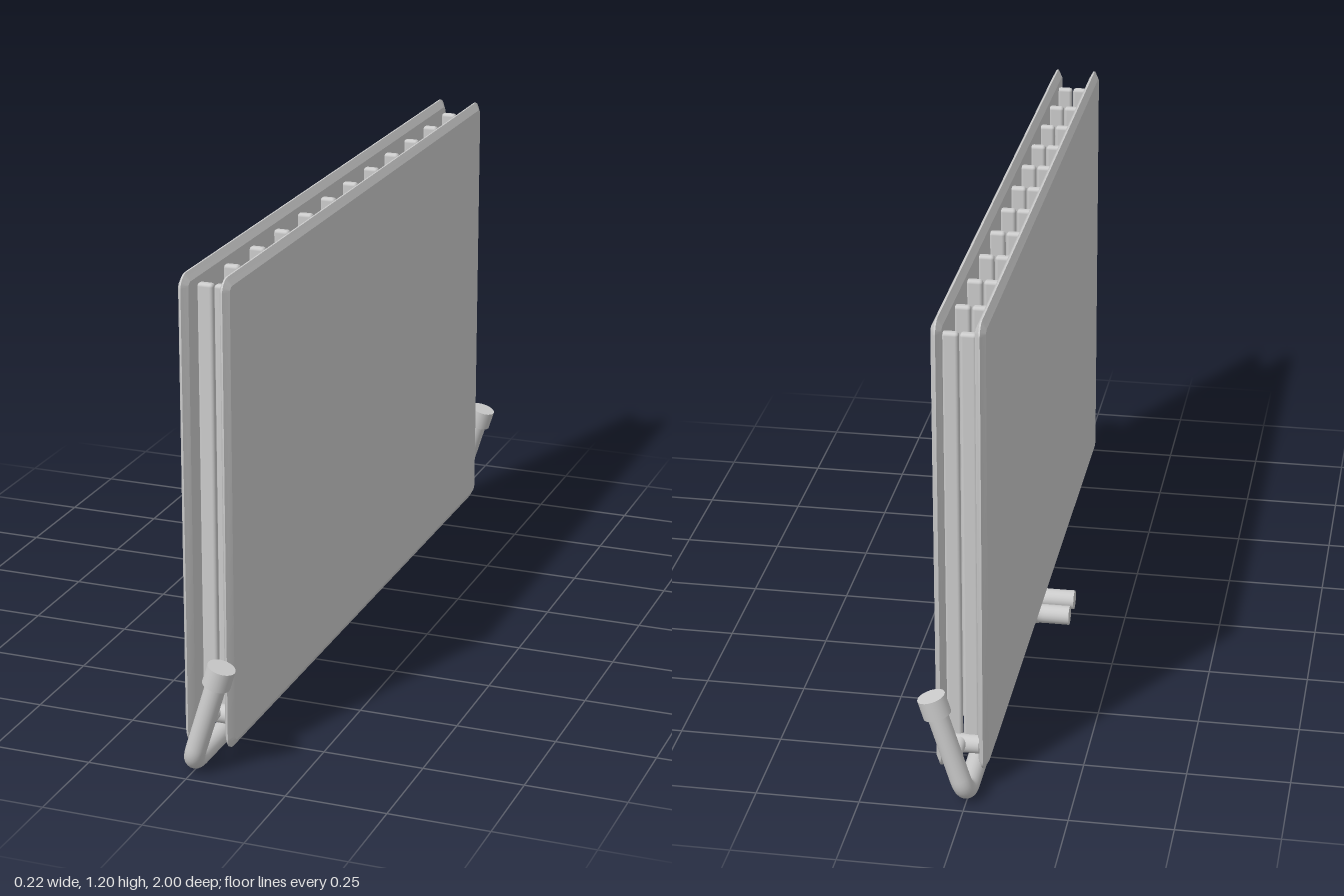
import * as THREE from 'three';
import { toCreasedNormals } from 'three/addons/utils/BufferGeometryUtils.js';
import { RoundedBoxGeometry } from 'three/addons/geometries/RoundedBoxGeometry.js';

const V = (x, y, z) => new THREE.Vector3(x, y, z);

// Straight runs joined by rounded bends of the given size
function bentPath(points, bend) {
  const path = new THREE.CurvePath();
  let from = points[0];
  for (let i = 1; i < points.length - 1; i++) {
    const p = points[i];
    const a = p.clone().add(points[i - 1].clone().sub(p).setLength(bend));
    const b = p.clone().add(points[i + 1].clone().sub(p).setLength(bend));
    path.add(new THREE.LineCurve3(from, a));
    path.add(new THREE.QuadraticBezierCurve3(a, p, b));
    from = b;
  }
  path.add(new THREE.LineCurve3(from, points[points.length - 1]));
  return path;
}

// Rounded rectangle in the length / height plane
function roundedRect(w, h, r) {
  const s = new THREE.Shape();
  s.absarc(w / 2 - r, h / 2 - r, r, 0, Math.PI / 2);
  s.absarc(-w / 2 + r, h / 2 - r, r, Math.PI / 2, Math.PI);
  s.absarc(-w / 2 + r, -h / 2 + r, r, Math.PI, Math.PI * 1.5);
  s.absarc(w / 2 - r, -h / 2 + r, r, Math.PI * 1.5, Math.PI * 2);
  s.closePath();
  return s;
}

export function createModel() {
  const group = new THREE.Group();
  const mat = new THREE.MeshStandardMaterial({ color: 0xcccccc });
  const add = (name, geo, x = 0, y = 0, z = 0) => {
    const mesh = new THREE.Mesh(geo, mat);
    mesh.name = name;
    mesh.position.set(x, y, z);
    group.add(mesh);
    return mesh;
  };
  const rod = (name, a, b, r) => {
    const d = b.clone().sub(a);
    const m = add(name, new THREE.CylinderGeometry(r, r, d.length(), 24), ...a.clone().add(b).multiplyScalar(0.5).toArray());
    m.quaternion.setFromUnitVectors(V(0, 1, 0), d.normalize());
  };

  // Two flat panels with edges bevelled to a ridge
  const bevel = 0.02, thick = 0.025;
  const panel = new THREE.ExtrudeGeometry(roundedRect(1.825 - 2 * bevel, 1.155 - 2 * bevel, 0.015), {
    depth: 0.004, bevelThickness: (thick - 0.004) / 2, bevelSize: bevel, bevelSegments: 1, curveSegments: 6,
  });
  panel.translate(0, 0, -0.002);
  panel.rotateY(Math.PI / 2);
  const panelGeo = toCreasedNormals(panel, 0.45);
  add('backPanel', panelGeo, -0.029, 0.627, 0.008);
  add('frontPanel', panelGeo, 0.072, 0.627, 0.008);

  // Upright convector ribs on the inner face of each panel
  const ribGeo = new RoundedBoxGeometry(0.039, 1.08, 0.022, 3, 0.008);
  for (let i = 0; i < 12; i++) {
    const z = -0.865 + i * 0.155;
    add('rib', ribGeo, 0.001, 0.63, z);
    add('rib', ribGeo, 0.043, 0.63, z);
  }

  // A supply and a return pipe, one towards each end
  for (const s of [1, -1]) {
    const zIn = s > 0 ? 0.03 : -0.057;
    const top = V(0.072, 0.26, s * 0.965);
    const path = bentPath([
      V(-0.11, 0.027, zIn), V(0, 0.027, zIn), V(0, 0.027, s * 0.965), top,
    ], 0.045);
    add('pipe', new THREE.TubeGeometry(path, 160, 0.025, 20));
    rod('pipeEnd', V(-0.111, 0.027, zIn), V(-0.1, 0.027, zIn), 0.025);

    // Valve cap in line with the leaning riser
    const dir = V(0.072, 0.233, 0).normalize();
    rod('valveCap', top.clone().addScaledVector(dir, -0.023), top.clone().addScaledVector(dir, 0.026), 0.034);

    // Cross tube between the panels and its short feed from the riser
    const zc = s > 0 ? 0.858 : -0.878;
    rod('crossTube', V(-0.02, 0.115, zc), V(0.064, 0.115, zc), 0.023);
    rod('feedStub', V(0.025, 0.122, zc), V(0.025, 0.122, s * 0.96), 0.014);
  }
  return group;
}
